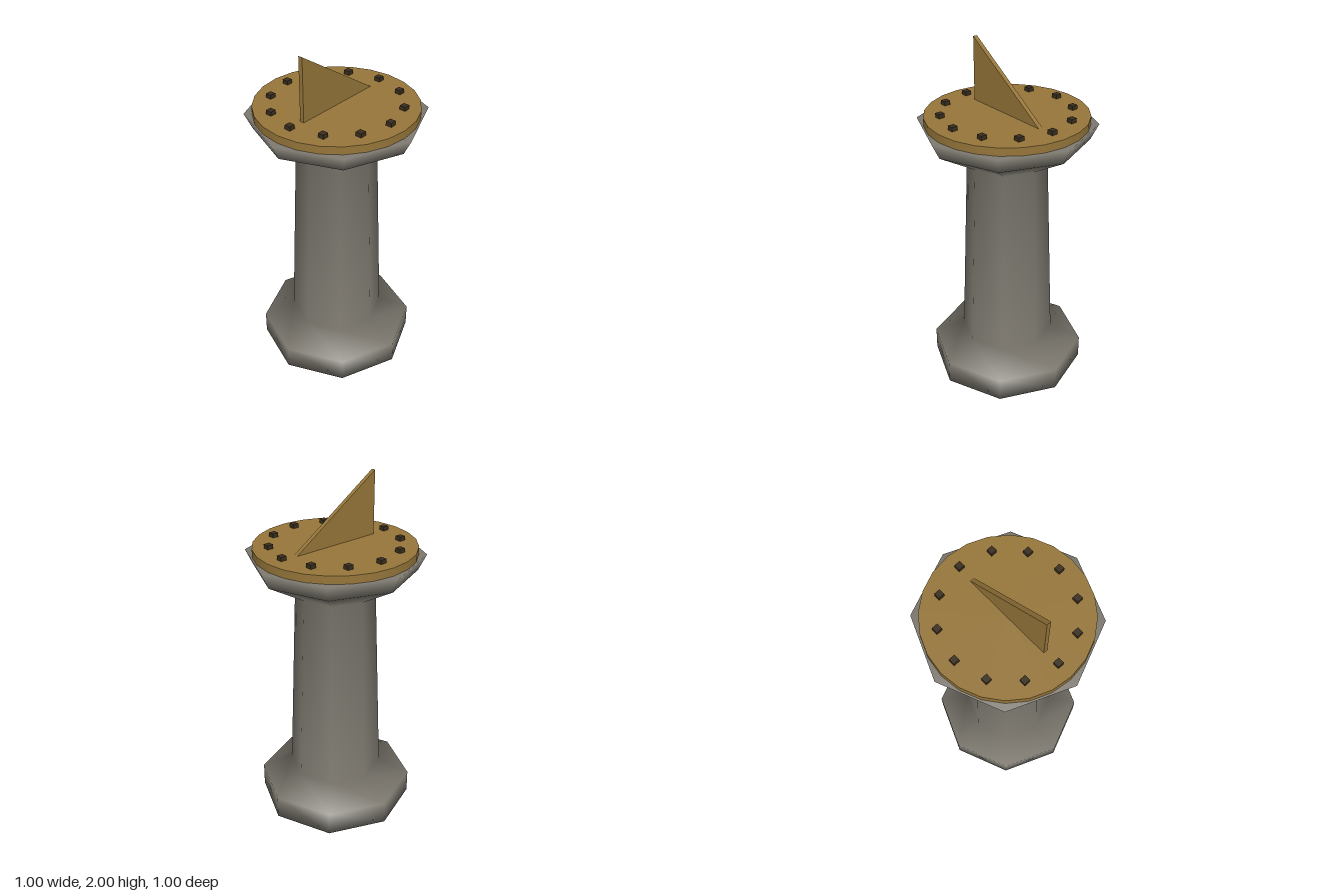
import * as THREE from 'three';

const stone = new THREE.MeshStandardMaterial({ color: 0x7c786f });
const brass = new THREE.MeshStandardMaterial({ color: 0x96763a });
const dark = new THREE.MeshStandardMaterial({ color: 0x3a2e1e });

function addMesh(parent, name, geometry, material, x = 0, y = 0, z = 0) {
  const mesh = new THREE.Mesh(geometry, material);
  mesh.name = name;
  mesh.position.set(x, y, z);
  parent.add(mesh);
  return mesh;
}

export function createModel() {
  const model = new THREE.Group();
  model.name = 'sundial';

  // Eight-sided pedestal with smooth shading: foot, tapered shaft, flared capital
  const profile = [
    [0, 0], [0.455, 0], [0.455, 0.136], [0.273, 0.227],
    [0.227, 1.364], [0.455, 1.5], [0.5, 1.591], [0, 1.591],
  ].map(([r, y]) => new THREE.Vector2(r, y));
  addMesh(model, 'pedestal', new THREE.LatheGeometry(profile, 8), stone);

  // Round dial plate
  const plateTop = 1.636;
  addMesh(model, 'dialPlate', new THREE.CylinderGeometry(0.455, 0.455, 0.045, 24), brass,
    0, plateTop - 0.0225, 0);

  // Twelve hour markers, all square to the axes
  const markers = new THREE.Group();
  markers.name = 'hourMarkers';
  const markerGeometry = new THREE.BoxGeometry(0.036, 0.027, 0.036);
  for (let i = 0; i < 12; i++) {
    const a = (i / 12) * Math.PI * 2;
    addMesh(markers, `hourMarker${i + 1}`, markerGeometry, dark,
      Math.cos(a) * 0.364, plateTop + 0.01, Math.sin(a) * 0.364);
  }
  model.add(markers);

  // Triangular gnomon, upright at its -x end
  const triangle = new THREE.Shape();
  triangle.moveTo(-0.273, 0);
  triangle.lineTo(0.273, 0);
  triangle.lineTo(-0.273, 2 - plateTop);
  triangle.closePath();
  const thickness = 0.025;
  addMesh(model, 'gnomon',
    new THREE.ExtrudeGeometry(triangle, { depth: thickness, bevelEnabled: false }), brass,
    0, plateTop, -thickness / 2);

  return model;
}
